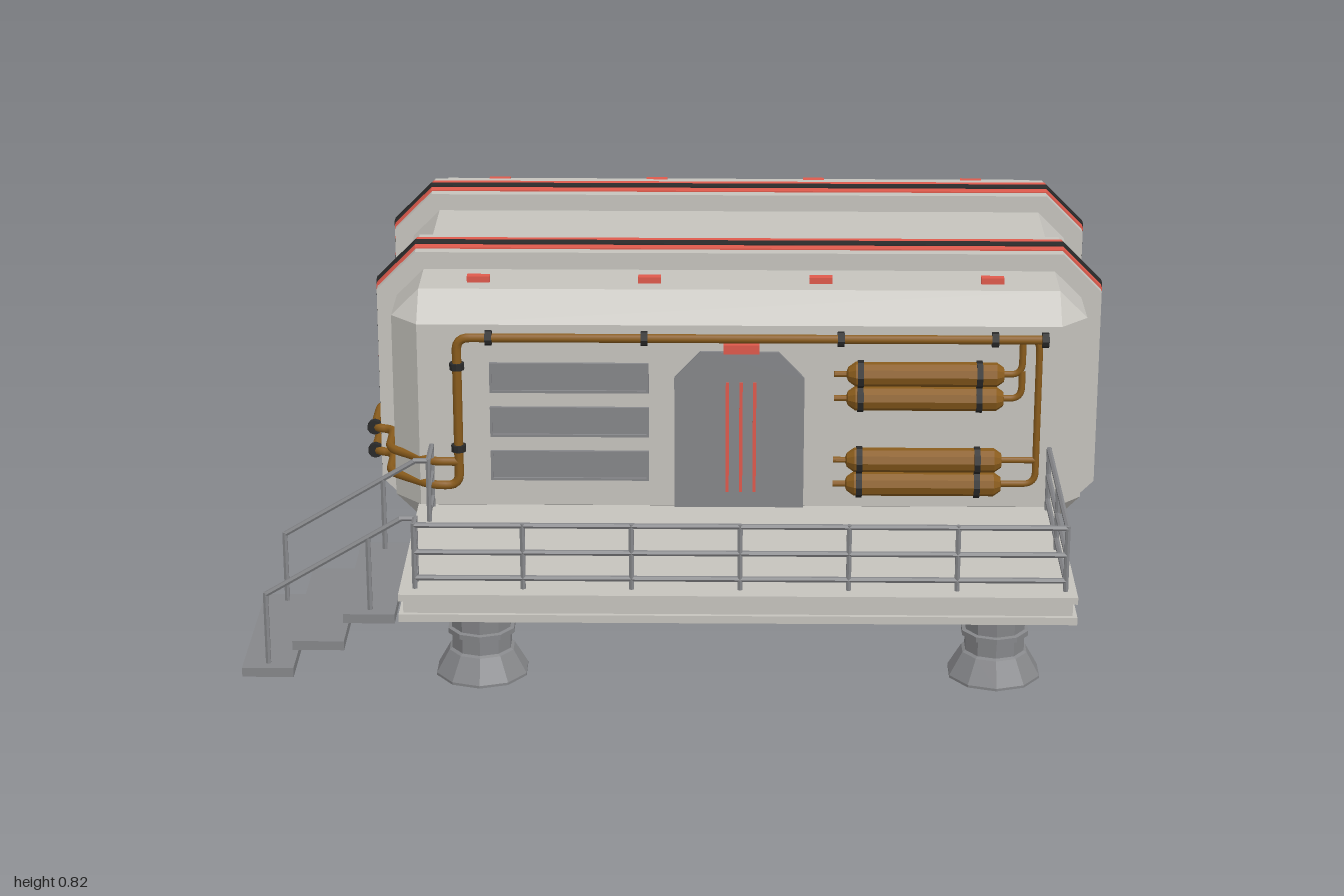
import * as THREE from 'three';

const mat = (color) => new THREE.MeshStandardMaterial({ color, flatShading: true });
const V = (x, y, z) => new THREE.Vector3(x, y, z);

export function createModel() {
  const root = new THREE.Group();
  const M = {
    shell: mat(0xc6c4be), grey: mat(0x86878a), dark: mat(0x707070), red: mat(0xe05a4c),
    black: mat(0x2a2a2a), bronze: mat(0x8a5c1c),
  };
  const bronzeSmooth = new THREE.MeshStandardMaterial({ color: 0x8a5c1c });

  const add = (name, geo, m, x = 0, y = 0, z = 0, parent = root) => {
    const mesh = new THREE.Mesh(geo, m);
    mesh.name = name;
    mesh.position.set(x, y, z);
    parent.add(mesh);
    return mesh;
  };
  const group = (name) => {
    const g = new THREE.Group();
    g.name = name;
    root.add(g);
    return g;
  };
  // box given by its extents
  const box = (name, m, x0, x1, y0, y1, z0, z1, parent) =>
    add(name, new THREE.BoxGeometry(x1 - x0, y1 - y0, z1 - z0), m, (x0 + x1) / 2, (y0 + y1) / 2, (z0 + z1) / 2, parent);
  // straight round bar between two points
  const bar = (name, m, a, b, r, parent, sides = 6) => {
    const mesh = add(name, new THREE.CylinderGeometry(r, r, a.distanceTo(b), sides), m, 0, 0, 0, parent);
    mesh.position.copy(a).lerp(b, 0.5);
    mesh.quaternion.setFromUnitVectors(V(0, 1, 0), b.clone().sub(a).normalize());
    return mesh;
  };
  // pipe through points with rounded corners
  const pipe = (name, pts, r, parent, bend = 0.03) => {
    const path = new THREE.CurvePath();
    let from = pts[0];
    for (let i = 1; i < pts.length; i++) {
      const p = pts[i], next = pts[i + 1];
      if (!next) { path.add(new THREE.LineCurve3(from, p)); break; }
      const toward = (q) => p.clone().add(q.clone().sub(p).setLength(Math.min(bend, p.distanceTo(q) * 0.45)));
      const a = toward(pts[i - 1]), b = toward(next);
      path.add(new THREE.LineCurve3(from, a));
      path.add(new THREE.QuadraticBezierCurve3(a, p, b));
      from = b;
    }
    add(name, new THREE.TubeGeometry(path, pts.length * 24, r, 8), bronzeSmooth, 0, 0, 0, parent);
  };
  // loft of chamfered rectangles, each [halfWidth, halfHeight, chamfer, z], front to back
  const loft = (rings) => {
    const loops = rings.map(([w, h, c, z]) => [
      [w, c - h], [w, h - c], [w - c, h], [c - w, h], [-w, h - c], [-w, c - h], [c - w, -h], [w - c, -h],
    ].map(([x, y]) => [x, y, z]));
    const pos = [];
    for (let i = 0; i + 1 < loops.length; i++) {
      for (let j = 0; j < 8; j++) {
        const k = (j + 1) % 8, A = loops[i], B = loops[i + 1];
        pos.push(...A[j], ...B[j], ...A[k], ...A[k], ...B[j], ...B[k]);
      }
    }
    const g = new THREE.BufferGeometry();
    g.setAttribute('position', new THREE.Float32BufferAttribute(pos, 3));
    g.computeVertexNormals();
    return g;
  };
  const cx = 0.126, cy = 0.477;

  // main chamfered hull with a recessed back
  add('hull', loft([
    [0, 0, 0, 0.255], [0.755, 0.226, 0, 0.255], [0.82, 0.292, 0.066, 0.187], [0.82, 0.292, 0.066, -0.735],
    [0.755, 0.226, 0, -0.8], [0.725, 0.196, 0, -0.8], [0.715, 0.186, 0, -0.78],
  ]), M.shell, cx, cy);
  box('backPanel', M.dark, cx - 0.718, cx + 0.718, cy - 0.189, cy + 0.189, -0.779, -0.76);

  // raised bands with red and black stripes
  for (const z of [-0.033, -0.515]) {
    const g = group('band');
    const ring = (name, m, grow, half) => add(name, loft([
      [0, 0, 0, half], [0.868 + grow, 0.336 + grow, 0.094, half],
      [0.868 + grow, 0.336 + grow, 0.094, -half], [0, 0, 0, -half],
    ]), m, cx, cy - 0.002, z, g);
    ring('bandBody', M.shell, 0, 0.07);
    ring('redStripe', M.red, 0.003, 0.042);
    ring('blackStripe', M.black, 0.006, 0.015);
  }

  // roof and side lamps
  for (const x of [-0.49, -0.085, 0.32, 0.725])
    for (const z of [0.13, -0.685]) box('roofLamp', M.red, x - 0.027, x + 0.027, 0.76, 0.784, z - 0.011, z + 0.011);
  for (const s of [-1, 1])
    for (const y of [0.535, 0.655])
      add('sideLamp', new THREE.BoxGeometry(0.03, 0.024, 0.086), M.red, cx + s * 0.824, y, -0.275);

  // door with chamfered top
  const door = new THREE.Shape([[-0.153, 0], [0.153, 0], [0.153, 0.325], [0.092, 0.39], [-0.092, 0.39], [-0.153, 0.325]]
    .map(([x, y]) => new THREE.Vector2(x, y)));
  add('door', new THREE.ExtrudeGeometry(door, { depth: 0.02, bevelEnabled: false }), M.grey, 0.128, 0.25, 0.243);
  for (const x of [0.1, 0.132, 0.164]) box('doorStripe', M.red, x - 0.004, x + 0.004, 0.29, 0.565, 0.26, 0.266);
  box('doorLamp', M.red, 0.09, 0.174, 0.64, 0.662, 0.25, 0.278);

  // wall slats, each a frame with an inset panel
  for (const y of [0.353, 0.463, 0.573]) {
    const g = group('wallSlat');
    box('slatPanel', M.grey, -0.455, -0.09, y - 0.033, y + 0.033, 0.25, 0.257, g);
    for (const s of [-1, 1]) {
      add('slatRail', new THREE.BoxGeometry(0.375, 0.006, 0.014), M.grey, -0.2725, y + s * 0.034, 0.256, g);
      add('slatEnd', new THREE.BoxGeometry(0.006, 0.074, 0.014), M.grey, -0.2725 + s * 0.1845, y, 0.256, g);
    }
  }

  // layered deck
  box('deckBase', M.shell, -0.635, 0.885, 0.184, 0.202, 0.2, 0.8);
  box('deckCore', M.shell, -0.625, 0.875, 0.202, 0.234, 0.2, 0.79);
  box('deckTop', M.shell, -0.635, 0.885, 0.234, 0.25, 0.2, 0.8);

  // feet
  const footProfile = [[0, 0], [0.108, 0], [0.108, 0.006], [0.077, 0.06], [0.07, 0.064], [0.07, 0.1], [0.079, 0.102],
    [0.079, 0.114], [0.07, 0.116], [0.074, 0.19]].map(([x, y]) => new THREE.Vector2(x, y));
  for (const x of [-0.46, 0.713])
    for (const z of [0.648, -0.275]) add('foot', new THREE.LatheGeometry(footProfile, 10), M.grey, x, 0, z);

  // deck railing
  const rails = group('railing');
  const R = 0.0065, railRun = (a, b, n) => {
    for (const y of [0.275, 0.337, 0.402]) bar('rail', M.grey, V(a[0], y, a[1]), V(b[0], y, b[1]), R, rails);
    for (let i = 0; i <= n; i++) {
      const x = a[0] + (b[0] - a[0]) * i / n, z = a[1] + (b[1] - a[1]) * i / n;
      bar('post', M.grey, V(x, 0.24, z), V(x, 0.407, z), R, rails);
    }
  };
  railRun([-0.6, 0.76], [0.86, 0.76], 6);
  railRun([0.86, 0.76], [0.86, 0.27], 2);
  railRun([-0.6, 0.76], [-0.6, 0.72], 1);
  railRun([-0.6, 0.36], [-0.6, 0.265], 1);

  // stairs with handrails
  const stairs = group('stairs');
  for (let i = 0; i < 3; i++)
    box('tread', M.grey, -1 + i * 0.117, -0.883 + i * 0.117, 0.024 + i * 0.067, 0.046 + i * 0.067, 0.325, 0.75, stairs);
  for (const z of [0.36, 0.72]) {
    bar('handrailTop', M.grey, V(-0.6, 0.402, z), V(-0.635, 0.402, z), R, stairs);
    bar('handrail', M.grey, V(-0.63, 0.402, z), V(-0.943, 0.215, z), R, stairs);
    bar('stairPost', M.grey, V(-0.943, 0.22, z), V(-0.943, 0.03, z), R, stairs);
    bar('stairPost', M.grey, V(-0.707, 0.356, z), V(-0.707, 0.17, z), R, stairs);
  }

  // pipework on the front and around the left end wall of the hull
  const pipes = group('pipework');
  const zp = 0.268, pr = 0.011;
  const around = (y) => [V(-0.6, y, zp), V(-0.708, y, 0.18), V(-0.708, y, 0.055), V(-0.757, y, 0.04),
    V(-0.757, y, -0.115), V(-0.708, y, -0.13), V(-0.708, y, -0.36), V(-0.67, y, -0.36)];
  pipe('mainPipe', [V(0.845, 0.675, zp), V(-0.535, 0.675, zp), V(-0.535, 0.305, zp), ...around(0.305)], pr, pipes);
  pipe('branchPipe', [V(-0.535, 0.365, zp), ...around(0.365)], pr, pipes);
  pipe('lowerFeed', [V(0.79, 0.675, zp), V(0.829, 0.675, zp), V(0.829, 0.315, zp), V(0.73, 0.315, zp)], 0.008, pipes);
  pipe('lowerBranch', [V(0.829, 0.375, zp), V(0.73, 0.375, zp)], 0.008, pipes);
  pipe('upperFeed', [V(0.79, 0.675, zp), V(0.79, 0.59, zp), V(0.73, 0.59, zp)], 0.008, pipes);
  pipe('upperBranch', [V(0.79, 0.6, zp), V(0.79, 0.53, zp), V(0.73, 0.53, zp)], 0.008, pipes);
  const collar = (x, y, z, d) => {
    const o = d.clone().multiplyScalar(0.008), p = V(x, y, z);
    bar('collar', M.black, p.clone().sub(o), p.clone().add(o), 0.018, pipes, 10);
  };
  for (const x of [-0.46, -0.095, 0.365, 0.725]) collar(x, 0.675, zp, V(1, 0, 0));
  collar(0.842, 0.675, zp, V(1, 0, 0));
  for (const y of [0.605, 0.4]) collar(-0.535, y, zp, V(0, 1, 0));
  for (const y of [0.305, 0.365]) {
    collar(-0.757, y, 0.035, V(0, 0, 1));
    collar(-0.708, y, -0.24, V(0, 0, 1));
  }

  // gas tanks with straps
  const tankProfile = [[0, -0.215], [0.007, -0.215], [0.007, -0.186], [0.017, -0.182], [0.029, -0.165], [0.029, 0.165],
    [0.017, 0.182], [0, 0.184]].map(([x, y]) => new THREE.Vector2(x, y));
  for (const y of [0.59, 0.53, 0.375, 0.315]) {
    add('tank', new THREE.LatheGeometry(tankProfile, 10), M.bronze, 0.565, y, 0.271, pipes).rotation.z = -Math.PI / 2;
    for (const x of [0.412, 0.69]) bar('strap', M.black, V(x - 0.007, y, 0.271), V(x + 0.007, y, 0.271), 0.033, pipes, 10);
  }
  return root;
}
